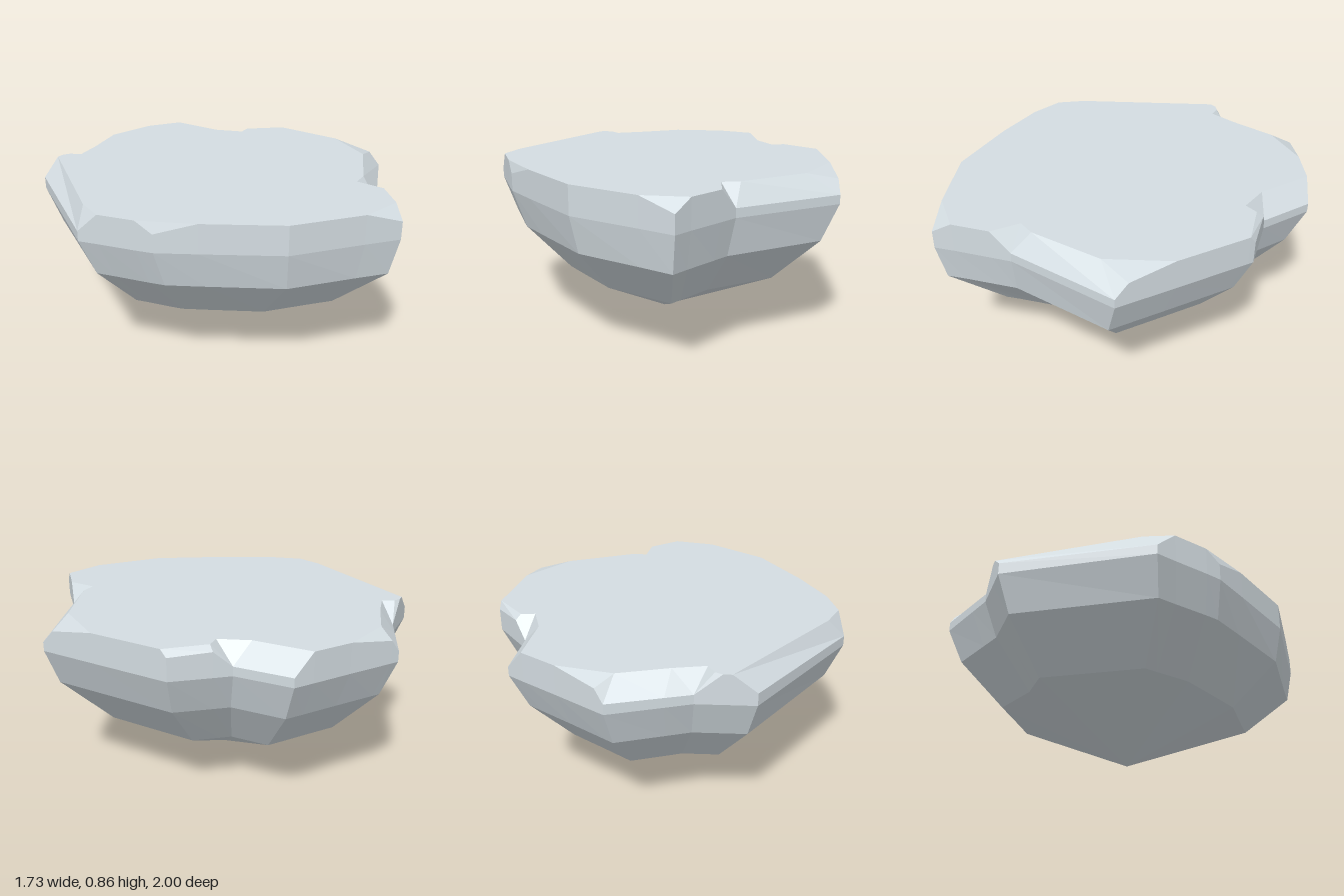
import * as THREE from 'three';

const TOP = 0.855;
const APEX = [0.02, 0, -0.035];

// Rim columns from the back point round by +x: outer x, z, height of outer edge,
// then the x, z where the chamfer meets the flat top (omitted where the wall reaches the top).
const RIM = [
  [0.16, -1.0, 0.76, 0.13, -0.9], [0.2, -0.977, 0.82, 0.13, -0.9], [0.4, -0.86, TOP],
  [0.575, -0.76, TOP], [0.66, -0.71, 0.755, 0.575, -0.76], [0.67, -0.425, 0.755, 0.58, -0.47],
  [0.67, -0.425, 0.755, 0.64, -0.325], [0.73, -0.36, 0.83, 0.71, -0.335],
  [0.864, -0.21, 0.82, 0.863, -0.18], [0.863, -0.18, TOP], [0.846, 0.2, TOP],
  [0.835, 0.43, 0.82, 0.67, 0.47], [0.832, 0.495, 0.755, 0.67, 0.47],
  [0.31, 0.735, 0.755, 0.34, 0.64], [0.31, 0.735, 0.755, 0.25, 0.65], [0.24, 0.8, TOP],
  [0.1, 0.93, TOP], [0.03, 1.0, 0.8, 0.1, 0.93], [-0.12, 0.893, TOP],
  [-0.43, 0.68, TOP], [-0.65, 0.35, TOP], [-0.76, 0.18, 0.8, -0.65, 0.35],
  [-0.785, 0.1, TOP], [-0.835, -0.08, TOP], [-0.865, -0.18, 0.76, -0.78, -0.22],
  [-0.47, -0.84, 0.77, -0.36, -0.848], [-0.36, -0.848, TOP], [-0.32, -0.851, TOP],
  [-0.2, -0.86, 0.755, -0.285, -0.835], [-0.2, -0.86, 0.755, -0.25, -0.78],
  [-0.08, -0.907, 0.757, -0.1, -0.82],
];

// Rings below the rim: height, x scale and shift, z scale and shift
const RINGS = [
  [0, 0, APEX[0], 0, APEX[2]],
  [0.283, 0.65, 0.01, 0.68, -0.01],
  [0.525, 0.91, -0.003, 0.938, 0.018],
  [0.71, 1, 0, 1, 0],
];

function flatMesh(triangles, material, name) {
  const geometry = new THREE.BufferGeometry();
  geometry.setAttribute('position', new THREE.Float32BufferAttribute(triangles.flat(2), 3));
  geometry.computeVertexNormals();
  const mesh = new THREE.Mesh(geometry, material);
  mesh.name = name;
  return mesh;
}

// Adds a triangle unless it has collapsed to a line
function addTriangle(list, a, b, c) {
  const t = new THREE.Triangle(...[a, b, c].map((p) => new THREE.Vector3(...p)));
  if (t.getArea() > 1e-6) list.push([a, b, c]);
}

export function createModel() {
  const group = new THREE.Group();
  group.name = 'rock';
  const stone = new THREE.MeshStandardMaterial({ color: 0xd4dde2 });
  stone.name = 'pale grey stone';

  // Each column runs from the apex up the side and over the chamfer
  const columns = RIM.map(([x, z, y, ix = x, iz = z]) => [
    ...RINGS.map(([h, sx, dx, sz, dz]) => [x * sx + dx, h, z * sz + dz]),
    [x, y, z],
    [ix, TOP, iz],
  ]);

  // Faceted sides and chipped rim
  const sides = [];
  const chamfers = [];
  columns.forEach((a, i) => {
    const b = columns[(i + 1) % columns.length];
    for (let k = 0; k < a.length - 1; k++) {
      const list = k === a.length - 2 ? chamfers : sides;
      addTriangle(list, a[k], a[k + 1], b[k + 1]);
      addTriangle(list, a[k], b[k + 1], b[k]);
    }
  });
  group.add(flatMesh(sides, stone, 'sides'), flatMesh(chamfers, stone, 'chippedRim'));

  // Flat top, bounded by the inner edge of the rim
  const edge = columns
    .map((c) => new THREE.Vector2(c[5][0], -c[5][2]))
    .filter((p, i, all) => p.distanceTo(all[(i + 1) % all.length]) > 1e-4);
  edge.reverse();
  const lid = THREE.ShapeUtils.triangulateShape(edge, [])
    .map((face) => face.map((i) => [edge[i].x, TOP, -edge[i].y]));
  group.add(flatMesh(lid, stone, 'flatTop'));

  return group;
}
